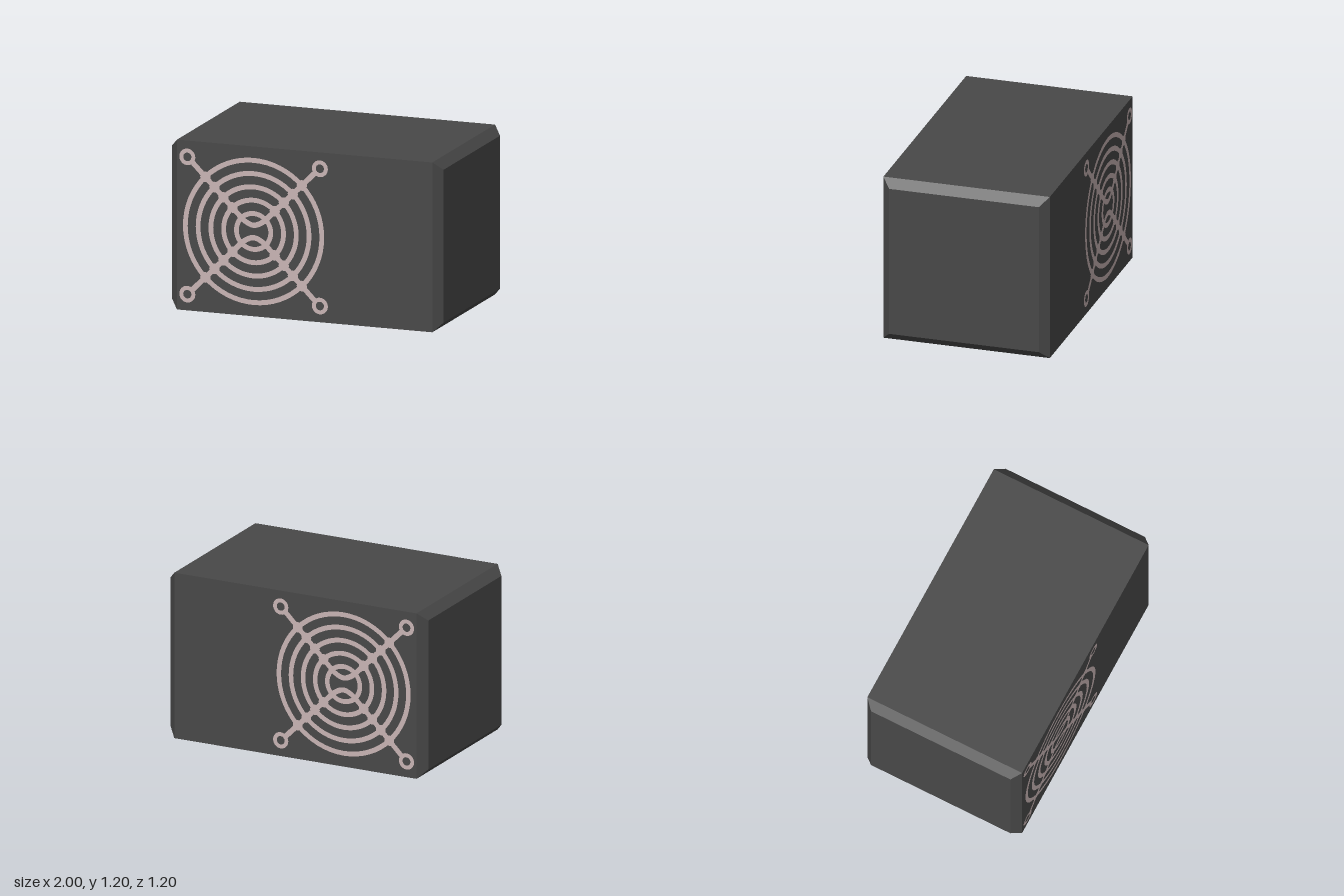
import * as THREE from 'three';
import { mergeGeometries } from 'three/addons/utils/BufferGeometryUtils.js';

// Flat ribbon of constant width following a planar curve
function ribbon(points, width, steps) {
  const curve = new THREE.CatmullRomCurve3(points.map(([x, y]) => new THREE.Vector3(x, y, 0)));
  const geo = new THREE.PlaneGeometry(1, 1, steps, 1);
  const pos = geo.attributes.position;
  for (let i = 0; i <= steps; i++) {
    const p = curve.getPoint(i / steps);
    const t = curve.getTangent(i / steps);
    for (const [row, side] of [[0, 1], [1, -1]]) {
      const d = side * width / 2;
      pos.setXYZ(row * (steps + 1) + i, p.x - t.y * d, p.y + t.x * d, 0);
    }
  }
  return geo;
}

// Wire fan grille, flat in the xy plane and centred on the origin
function grilleGeometry() {
  const parts = [];
  const wire = 0.035;

  // Concentric rings, with small webs where the spokes cross them
  for (let i = 0; i < 5; i++) {
    const outer = 0.52 - i * 0.094;
    parts.push(new THREE.RingGeometry(outer - wire, outer, 64));
    const c = (outer - wire / 2) * Math.SQRT1_2;
    for (const sx of [-1, 1]) for (const sy of [-1, 1]) {
      parts.push(new THREE.CircleGeometry(i === 4 ? 0.028 : 0.038, 16).translate(sx * c, sy * c, 0));
    }
  }

  // Upper and lower wires: each runs corner to corner, bending near the hub
  const half = [[-0.452, 0.452], [-0.3, 0.3], [-0.13, 0.13], [-0.06, 0.066]];
  const path = [...half, [0, 0.044], ...half.map(([x, y]) => [-x, y]).reverse()];
  const upper = ribbon(path, 0.038, 64);
  parts.push(upper, upper.clone().rotateZ(Math.PI));

  // Screw eyelets at the corners
  for (const sx of [-1, 1]) for (const sy of [-1, 1]) {
    parts.push(new THREE.RingGeometry(0.03, 0.059, 32).translate(sx * 0.488, sy * 0.485, 0));
  }
  return mergeGeometries(parts);
}

export function createModel() {
  const group = new THREE.Group();
  const casing = new THREE.MeshStandardMaterial({ color: 0x484848 });
  casing.name = 'charcoalCasing';
  const metal = new THREE.MeshStandardMaterial({ color: 0xc8b4b4 });
  metal.name = 'paleWire';

  // Casing: box whose two ends are bevelled inwards
  let geo = new THREE.BoxGeometry(2, 1.2, 1.2, 3, 1, 1);
  const pos = geo.attributes.position;
  for (let i = 0; i < pos.count; i++) {
    const x = pos.getX(i);
    if (Math.abs(x) > 0.99) pos.setXYZ(i, x, pos.getY(i) * 0.9, pos.getZ(i) * 0.9);
    else pos.setX(i, Math.sign(x) * 0.94);
  }
  geo = geo.toNonIndexed();
  geo.computeVertexNormals();
  const body = new THREE.Mesh(geo, casing);
  body.name = 'casing';
  body.position.y = 0.6;
  group.add(body);

  // Matching grilles on the front and back
  const grille = grilleGeometry();
  for (const [name, z, turn] of [['frontGrille', 0.602, 0], ['backGrille', -0.602, Math.PI]]) {
    const mesh = new THREE.Mesh(grille, metal);
    mesh.name = name;
    mesh.position.set(-0.375, 0.6, z);
    mesh.rotation.y = turn;
    group.add(mesh);
  }
  return group;
}
